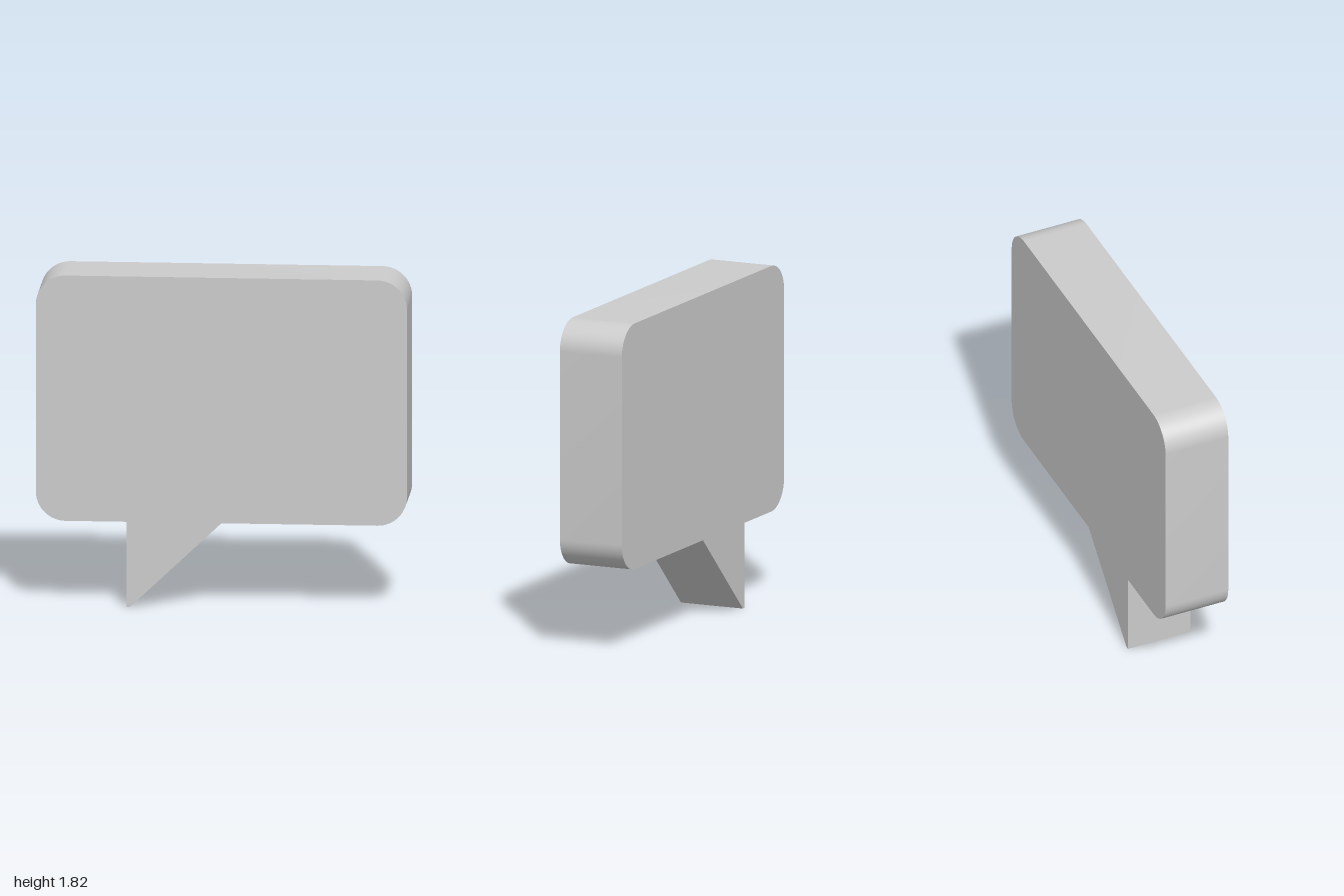
import * as THREE from 'three';
import { toCreasedNormals } from 'three/addons/utils/BufferGeometryUtils.js';

const HALF_WIDTH = 1, BOTTOM = 0.467, TOP = 1.815, RADIUS = 0.16, DEPTH = 0.37;

// Rounded panel outline with the pointed tail let into its lower edge
function bubbleOutline() {
  const s = new THREE.Shape();
  const inner = HALF_WIDTH - RADIUS, low = BOTTOM + RADIUS, high = TOP - RADIUS;
  s.moveTo(-inner, BOTTOM);
  // tail
  s.lineTo(-0.512, BOTTOM);
  s.lineTo(-0.512, 0);
  s.lineTo(-0.492, 0);
  s.lineTo(0, BOTTOM);
  // panel, counter-clockwise
  s.lineTo(inner, BOTTOM);
  s.absarc(inner, low, RADIUS, -Math.PI / 2, 0, false);
  s.absarc(inner, high, RADIUS, 0, Math.PI / 2, false);
  s.absarc(-inner, high, RADIUS, Math.PI / 2, Math.PI, false);
  s.absarc(-inner, low, RADIUS, Math.PI, Math.PI * 1.5, false);
  return s;
}

export function createModel() {
  const group = new THREE.Group();
  group.name = 'speechBubble';

  // Flat slab: smooth round corners, sharp front and back edges
  const slab = new THREE.ExtrudeGeometry(bubbleOutline(), {
    depth: DEPTH, bevelEnabled: false, curveSegments: 12,
  });
  slab.translate(0, 0, -DEPTH / 2);

  const bubble = new THREE.Mesh(
    toCreasedNormals(slab, 0.5),
    new THREE.MeshStandardMaterial({ color: 0xcccccc }),
  );
  bubble.name = 'bubbleWithTail';
  group.add(bubble);
  return group;
}
